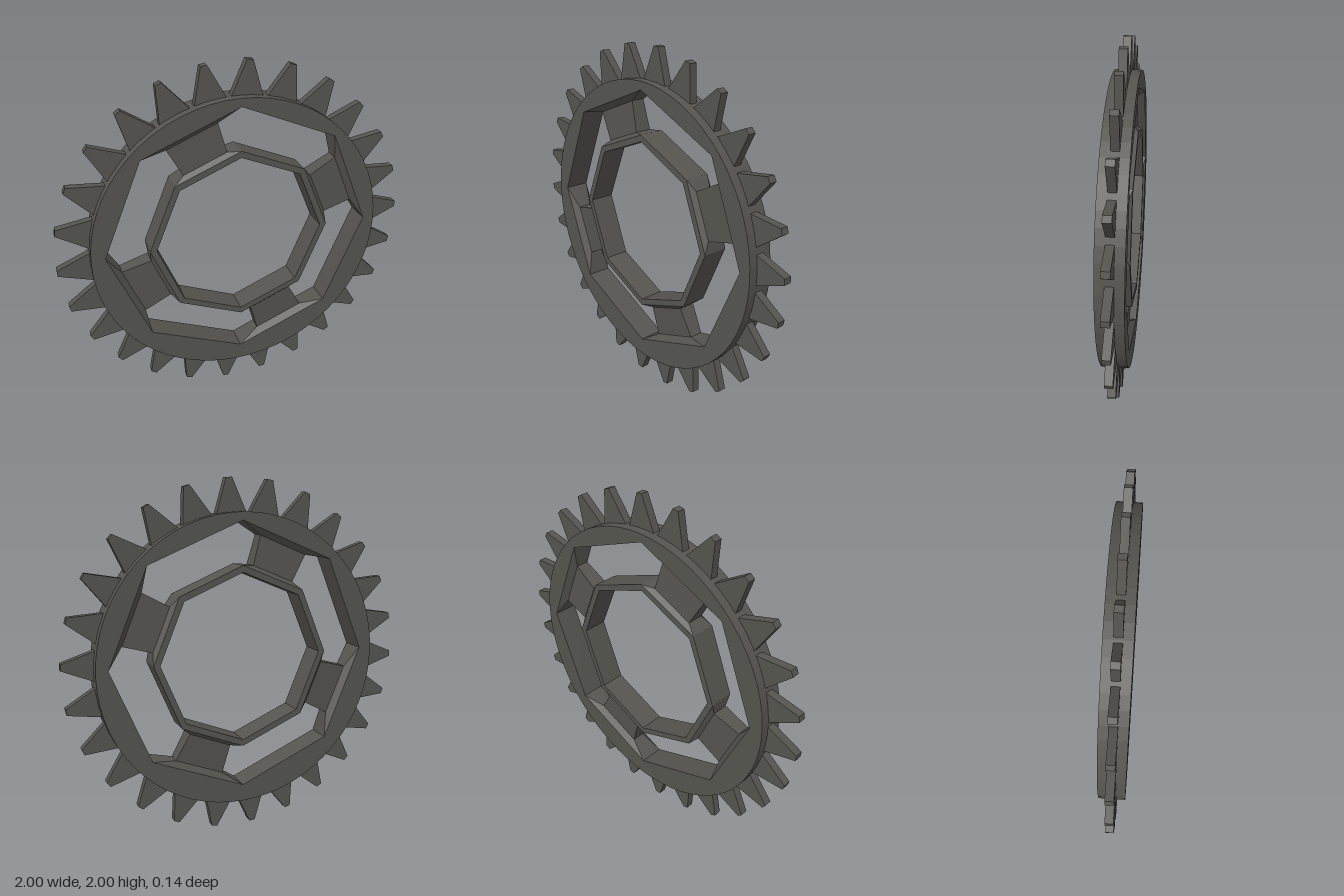
import * as THREE from 'three';

const HUB = [0.01, 1.02];      // centre of the octagonal openings
const RIM = [0.005, 0.993];    // centre of the round rim
const DEPTH = 0.072;           // half thickness of rim and hub
const TEETH = 26;

const polygon = (r, n, cx, cy, dir = 1) => Array.from({ length: n }, (_, i) => {
  const a = dir * i * Math.PI * 2 / n;
  return new THREE.Vector2(cx + r * Math.cos(a), cy + r * Math.sin(a));
});

// flat plate centred on z = 0
function plate(outline, hole, half) {
  const shape = new THREE.Shape(outline);
  if (hole) shape.holes.push(new THREE.Path(hole));
  const geo = new THREE.ExtrudeGeometry(shape, { depth: half * 2, bevelEnabled: false });
  return geo.translate(0, 0, -half);
}

// loft through rectangles [radius, half width, half thickness] along +x
function loft(sections) {
  const pos = [], index = [];
  for (const [r, w, t] of sections) pos.push(r, -w, -t, r, w, -t, r, w, t, r, -w, t);
  for (let s = 0; s < sections.length - 1; s++) {
    for (let k = 0; k < 4; k++) {
      const a = s * 4 + k, b = s * 4 + (k + 1) % 4;
      index.push(a, b, b + 4, a, b + 4, a + 4);
    }
  }
  const geo = new THREE.BufferGeometry();
  geo.setAttribute('position', new THREE.Float32BufferAttribute(pos, 3));
  geo.setIndex(index);
  const flat = geo.toNonIndexed();
  flat.computeVertexNormals();
  return flat;
}

export function createModel() {
  const group = new THREE.Group();
  const material = new THREE.MeshStandardMaterial({ color: 0x55544f, flatShading: true });
  const add = (name, geo, parent = group) => {
    const mesh = new THREE.Mesh(geo, material);
    mesh.name = name;
    parent.add(mesh);
    return mesh;
  };

  // round rim with an octagonal opening
  add('rim', plate(polygon(0.827, 64, ...RIM), polygon(0.755, 8, ...HUB, -1), DEPTH));

  // thin octagonal hub ring
  add('hubRing', plate(polygon(0.515, 8, ...HUB), polygon(0.478, 8, ...HUB, -1), DEPTH));

  // four spokes, flared out to the full octagon sides at both ends
  const spokes = new THREE.Group();
  spokes.name = 'spokes';
  spokes.position.set(HUB[0], HUB[1], 0);
  group.add(spokes);
  const spokeGeo = loft([
    [0.476, 0.197, DEPTH],
    [0.498, 0.13, 0.047],
    [0.666, 0.15, 0.038],
    [0.6975, 0.289, DEPTH],
  ]);
  for (let i = 0; i < 4; i++) {
    add('spoke', spokeGeo, spokes).rotation.z = Math.PI / 8 + i * Math.PI / 2;
  }

  // tapered teeth rooted inside the rim
  const teeth = new THREE.Group();
  teeth.name = 'teeth';
  teeth.position.y = 1;
  group.add(teeth);
  const toothGeo = plate([
    new THREE.Vector2(0.79, -0.095), new THREE.Vector2(1, -0.017),
    new THREE.Vector2(1, 0.017), new THREE.Vector2(0.79, 0.095),
  ], null, 0.022);
  for (let i = 0; i < TEETH; i++) {
    add('tooth', toothGeo, teeth).rotation.z = 0.05 + i * Math.PI * 2 / TEETH;
  }
  return group;
}
